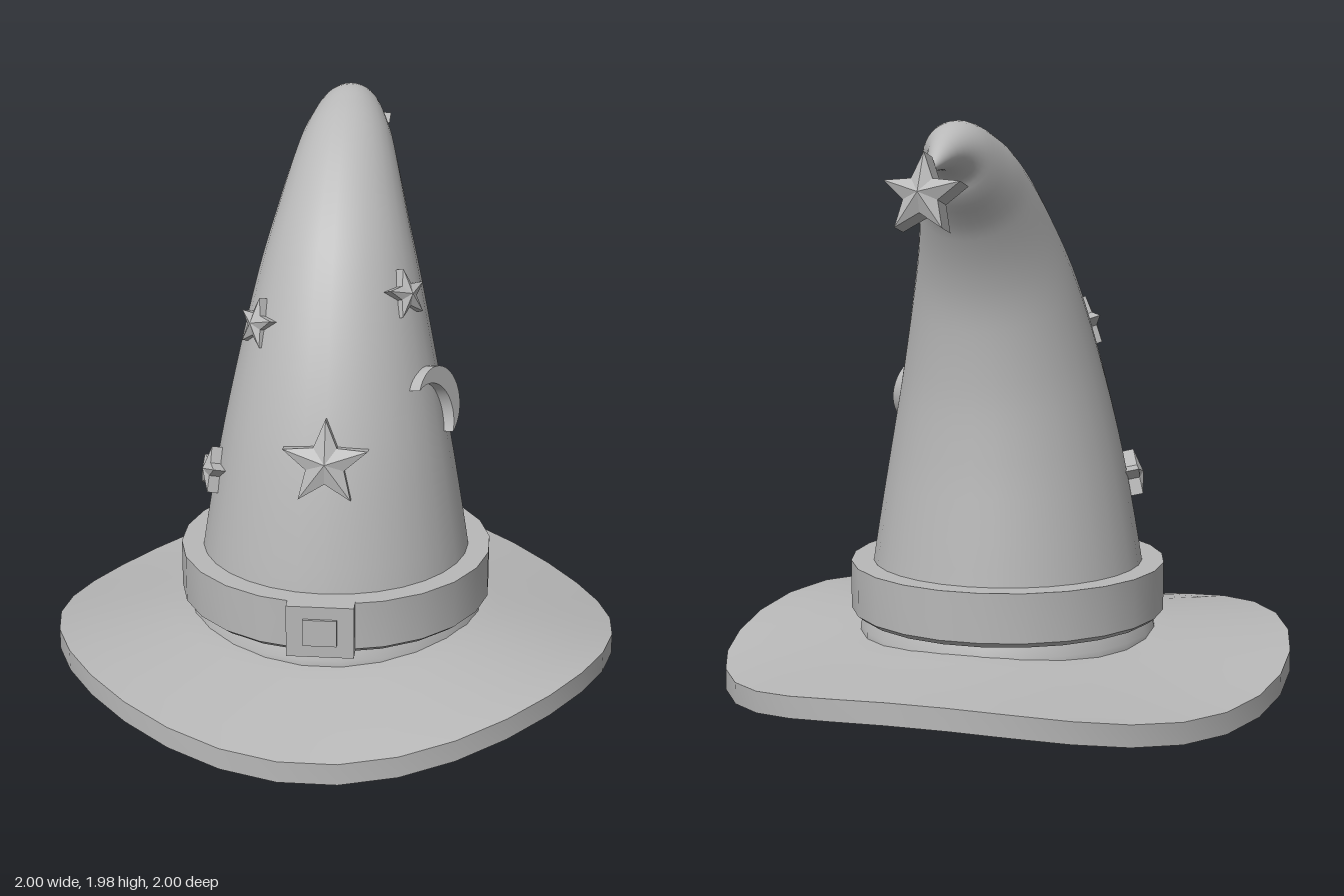
import * as THREE from 'three';
import { mergeVertices, toCreasedNormals } from 'three/addons/utils/BufferGeometryUtils.js';

const grey = new THREE.MeshStandardMaterial({ color: 0xb8b8b8 });
grey.name = 'plain grey';

function part(name, geometry, parent) {
  const mesh = new THREE.Mesh(geometry, grey);
  mesh.name = name;
  parent.add(mesh);
  return mesh;
}

const lathe = (profile, sides) => new THREE.LatheGeometry(
  profile.map(([r, y]) => new THREE.Vector2(r, y)), sides, Math.PI / sides);

// Domed disc whose rim waves up and down three times
function brimGeometry() {
  const rim = 1.005;
  const radii = [0, 0.25, 0.5, 0.6, 0.7, 0.8, 0.9, rim];
  const topY = r => 0.195 - 0.07 * Math.max(0, (r - 0.5) / 0.5);
  const profile = [
    ...radii.map(r => [r, topY(r) - 0.075]),
    ...radii.slice().reverse().map(r => [r, topY(r)]),
  ];
  const geo = lathe(profile, 32);
  const p = geo.attributes.position;
  for (let i = 0; i < p.count; i++) {
    const x = p.getX(i), z = p.getZ(i);
    const wave = -0.05 * Math.cos(3 * Math.atan2(x, z)) * (x * x + z * z);
    p.setY(i, p.getY(i) + wave);
  }
  return toCreasedNormals(geo, 0.7);
}

// Tapering cone that bends backwards; each row is radius, y, z of a section
function crownGeometry() {
  const sections = [
    [0.51, 0.18, 0], [0.477, 0.43, 0], [0.41, 0.82, -0.02], [0.345, 1.13, -0.07],
    [0.285, 1.39, -0.15], [0.233, 1.575, -0.25], [0.19, 1.72, -0.365],
    [0.155, 1.81, -0.475], [0.112, 1.87, -0.58], [0.062, 1.875, -0.68], [0.006, 1.83, -0.82],
  ];
  const spine = new THREE.CatmullRomCurve3(sections.map(s => new THREE.Vector3(...s)));
  let geo = new THREE.CylinderGeometry(1, 1, 1, 32, 50, true);
  const p = geo.attributes.position;
  for (let i = 0; i < p.count; i++) {
    const t = p.getY(i) + 0.5;
    const c = spine.getPoint(t);
    const d = spine.getTangent(t).setX(0).normalize();
    const side = p.getX(i) * c.x, front = p.getZ(i) * c.x;
    p.setXYZ(i, side, c.y - d.z * front, c.z + d.y * front);
  }
  geo.deleteAttribute('uv');
  geo.deleteAttribute('normal');
  geo = mergeVertices(geo, 1e-5);
  geo.computeVertexNormals();
  return geo;
}

// Five-pointed star with straight sides and a raised centre on both faces
function starGeometry(radius, halfSide, halfCentre) {
  const ring = z => Array.from({ length: 10 }, (_, i) => {
    const a = Math.PI / 2 + i * Math.PI / 5;
    const r = i % 2 ? radius * 0.45 : radius;
    return new THREE.Vector3(r * Math.cos(a), r * Math.sin(a), z);
  });
  const f = ring(halfSide), b = ring(-halfSide);
  const front = new THREE.Vector3(0, 0, halfCentre);
  const back = new THREE.Vector3(0, 0, -halfCentre);
  const corners = [];
  for (let i = 0; i < 10; i++) {
    const j = (i + 1) % 10;
    corners.push(front, f[i], f[j], back, b[j], b[i]);
    corners.push(f[i], b[i], b[j], f[i], b[j], f[j]);
  }
  const geo = new THREE.BufferGeometry().setFromPoints(corners);
  geo.computeVertexNormals();
  return geo;
}

// Crescent, its outer curve towards the upper right
function moonGeometry() {
  const R = 0.13, half = 1.83, mid = 0.7, shift = 0.075;
  const ex = R * Math.cos(half), ey = R * Math.sin(half);
  const innerR = Math.hypot(ex + shift, ey);
  const innerHalf = Math.atan2(ey, ex + shift);
  const shape = new THREE.Shape();
  shape.absarc(0, 0, R, mid - half, mid + half, false);
  shape.absarc(-shift * Math.cos(mid), -shift * Math.sin(mid), innerR,
    mid + innerHalf, mid - innerHalf, true);
  const geo = new THREE.ExtrudeGeometry(shape, { depth: 0.06, bevelEnabled: false, curveSegments: 12 });
  geo.translate(0, 0, -0.03);
  return toCreasedNormals(geo, 0.6);
}

function place(mesh, position, facing) {
  mesh.position.set(...position);
  mesh.lookAt(mesh.position.clone().add(new THREE.Vector3(...facing)));
}

export function createModel() {
  const hat = new THREE.Group();
  hat.name = 'pointedHat';

  part('brim', brimGeometry(), hat);
  part('crown', crownGeometry(), hat);
  part('crownFoot', lathe([[0.525, 0.17], [0.525, 0.2], [0.505, 0.25]], 24), hat);

  // Hat band
  const band = lathe([[0.46, 0.24], [0.53, 0.24], [0.556, 0.26], [0.556, 0.43], [0.46, 0.43]], 24);
  part('band', toCreasedNormals(band, 0.5), hat);

  // Buckle with a raised centre
  part('buckle', new THREE.BoxGeometry(0.23, 0.185, 0.07), hat).position.set(0, 0.338, 0.55);
  part('buckleCentre', new THREE.BoxGeometry(0.115, 0.095, 0.05), hat).position.set(0, 0.338, 0.57);

  // Stars: name, position, facing, radius, half side depth, half centre depth
  const stars = [
    ['frontStar', [0, 0.87, 0.38], [0, 0.2, 1], 0.152, 0.03, 0.052],
    ['upperRightStar', [-0.25, 1.265, 0.1], [-0.75, 0.25, 0.65], 0.09, 0.028, 0.048],
    ['lowerRightStar', [-0.415, 0.73, 0.125], [-0.93, 0.2, 0.33], 0.085, 0.028, 0.048],
    ['upperLeftStar', [0.235, 1.37, 0.055], [0.77, 0.3, 0.6], 0.088, 0.028, 0.048],
    ['tipStar', [0, 1.75, -0.88], [0, 0.25, -1], 0.131, 0.042, 0.075],
  ];
  for (const [name, position, facing, ...size] of stars) {
    place(part(name, starGeometry(...size), hat), position, facing);
  }

  place(part('moon', moonGeometry(), hat), [0.345, 1.0, 0.115], [0.87, 0.2, 0.48]);
  return hat;
}
